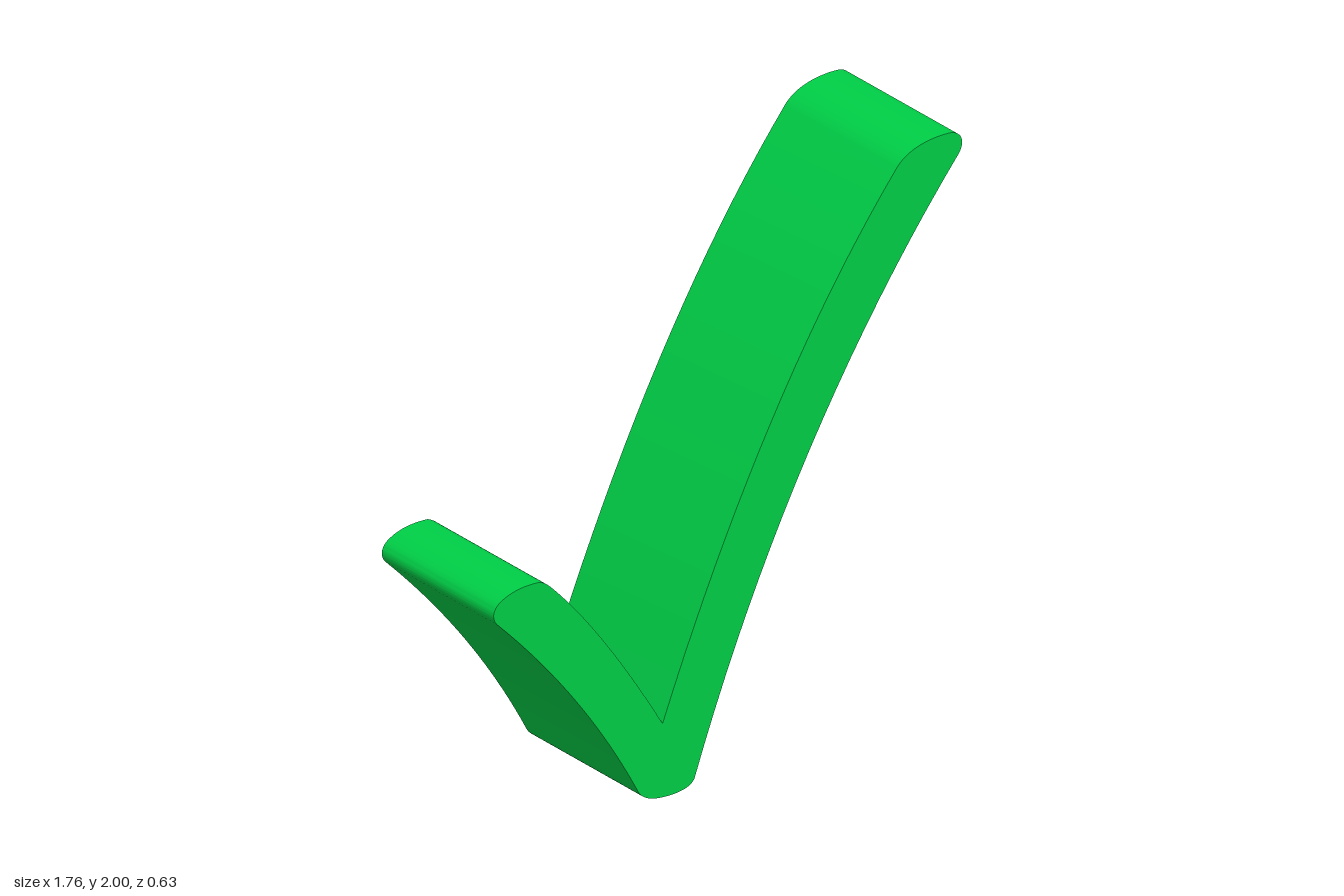
import * as THREE from 'three';
import { toCreasedNormals } from 'three/addons/utils/BufferGeometryUtils.js';

const DEPTH = 0.63;

// Outline of the tick: two curved arms with softly rounded ends
function tickShape() {
  const s = new THREE.Shape();
  s.moveTo(-0.246, 0.249);
  // upper edge of the long arm
  s.quadraticCurveTo(0.137, 1.275, 0.63, 1.92);
  // tip of the long arm
  s.bezierCurveTo(0.67, 1.98, 0.76, 2.0, 0.83, 2.0);
  s.bezierCurveTo(0.875, 2.0, 0.895, 1.965, 0.87, 1.925);
  // lower edge of the long arm
  s.quadraticCurveTo(0.239, 1.11, -0.125, 0.04);
  // foot
  s.bezierCurveTo(-0.135, 0.012, -0.18, 0, -0.24, 0);
  s.bezierCurveTo(-0.29, 0, -0.325, 0.013, -0.338, 0.04);
  // lower edge of the short arm
  s.quadraticCurveTo(-0.537, 0.41, -0.865, 0.72);
  // tip of the short arm
  s.bezierCurveTo(-0.892, 0.745, -0.885, 0.78, -0.85, 0.8);
  s.bezierCurveTo(-0.81, 0.825, -0.76, 0.832, -0.71, 0.831);
  s.quadraticCurveTo(-0.69, 0.826, -0.67, 0.808);
  // upper edge of the short arm
  s.quadraticCurveTo(-0.48, 0.63, -0.246, 0.249);
  return s;
}

export function createModel() {
  const green = new THREE.MeshStandardMaterial({ color: 0x00ce46 });
  green.name = 'green';

  const extruded = new THREE.ExtrudeGeometry(tickShape(), {
    depth: DEPTH, bevelEnabled: false, curveSegments: 20,
  });
  extruded.translate(0, 0, -DEPTH / 2);

  const tick = new THREE.Mesh(toCreasedNormals(extruded, Math.PI / 4), green);
  tick.name = 'checkMark';

  const group = new THREE.Group();
  group.name = 'checkMarkModel';
  group.add(tick);
  return group;
}
